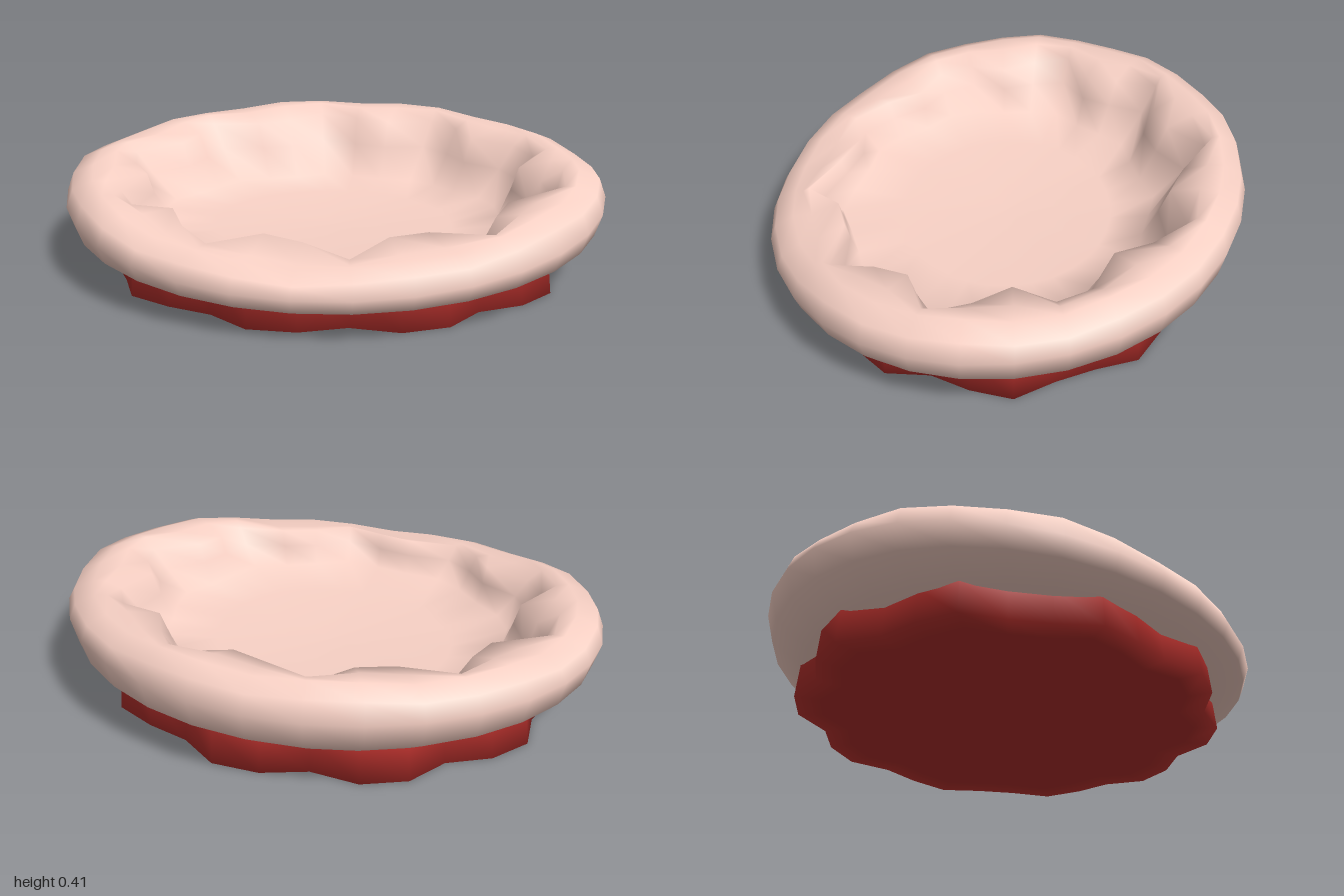
import * as THREE from 'three';

const SIDES = 32, DEPTH = 0.873, LOBES = 10, PHASE = 0.138;
const { lerp } = THREE.MathUtils;

// 1 at a pleat, 0 in the middle of a padded lobe
const pleat = (a) => Math.pow((1 + Math.cos(LOBES * (a - PHASE))) / 2, 1.5);

// Lofts closed oval loops; profile(angle) returns [radius, height] pairs, innermost top point first
function ovalLoft(profile) {
  const pos = [], index = [];
  let rows = 0;
  for (let i = 0; i < SIDES; i++) {
    const a = (i / SIDES) * Math.PI * 2;
    const points = profile(a);
    rows = points.length;
    for (const [r, y] of points) pos.push(r * Math.cos(a), y, r * DEPTH * Math.sin(a));
  }
  for (let i = 0; i < SIDES; i++) {
    const n = (i + 1) % SIDES;
    for (let j = 0; j < rows - 1; j++) {
      const a = i * rows + j, b = a + 1, d = n * rows + j, c = d + 1;
      index.push(a, d, b, d, c, b);
    }
  }
  const g = new THREE.BufferGeometry();
  g.setAttribute('position', new THREE.Float32BufferAttribute(pos, 3));
  g.setIndex(index);
  g.computeVertexNormals();
  return g;
}

// Padded bowl: flat floor, pleated inner wall, rolled rim that is low in front and high behind
function cushionProfile(a) {
  const z = Math.sin(a), p = pleat(a), back = (1 - z) / 2;
  const crest = 0.36 - 0.085 * z - 0.04 * z * z
    + 0.018 * Math.sin(Math.PI * z) + 0.007 * Math.cos(LOBES * a);
  const lip = lerp(0.278, 0.365, back) - 0.03 * p * (1 - back);
  const lipR = 0.7 + 0.145 * p;
  const footR = 0.67 - 0.07 * back + 0.04 * p;
  return [
    [0, 0.11],
    [0.45, 0.115],
    [footR, 0.14],
    [lerp(footR, lipR, 0.6), lerp(0.14, lip, 0.55)],
    [lipR, lip],
    [0.82 + 0.05 * p, crest - 0.004],
    [0.9, crest],
    [0.975, crest - 0.03],
    [1, 0.27 - 0.07 * z - 0.04 * z * z],
    [0.975, 0.185 - 0.045 * z - 0.03 * z * z],
    [0.85, 0.11 - 0.01 * z],
    [0.7, 0.1],
  ];
}

// Scalloped base: broad lobes with narrow notches under the pleats
function baseProfile(a) {
  const r = 0.88 - 0.075 * pleat(a);
  return [
    [r - 0.015, 0.125],
    [r, 0],
    [r - 0.1, 0],
    [0, 0],
  ];
}

export function createModel() {
  const group = new THREE.Group();
  group.name = 'petBed';
  const add = (name, profile, color) => {
    const mesh = new THREE.Mesh(
      ovalLoft(profile),
      new THREE.MeshStandardMaterial({ color, side: THREE.DoubleSide })
    );
    mesh.name = name;
    group.add(mesh);
  };
  add('cushion', cushionProfile, 0xf9d2c6);
  add('base', baseProfile, 0xb5302c);
  return group;
}
